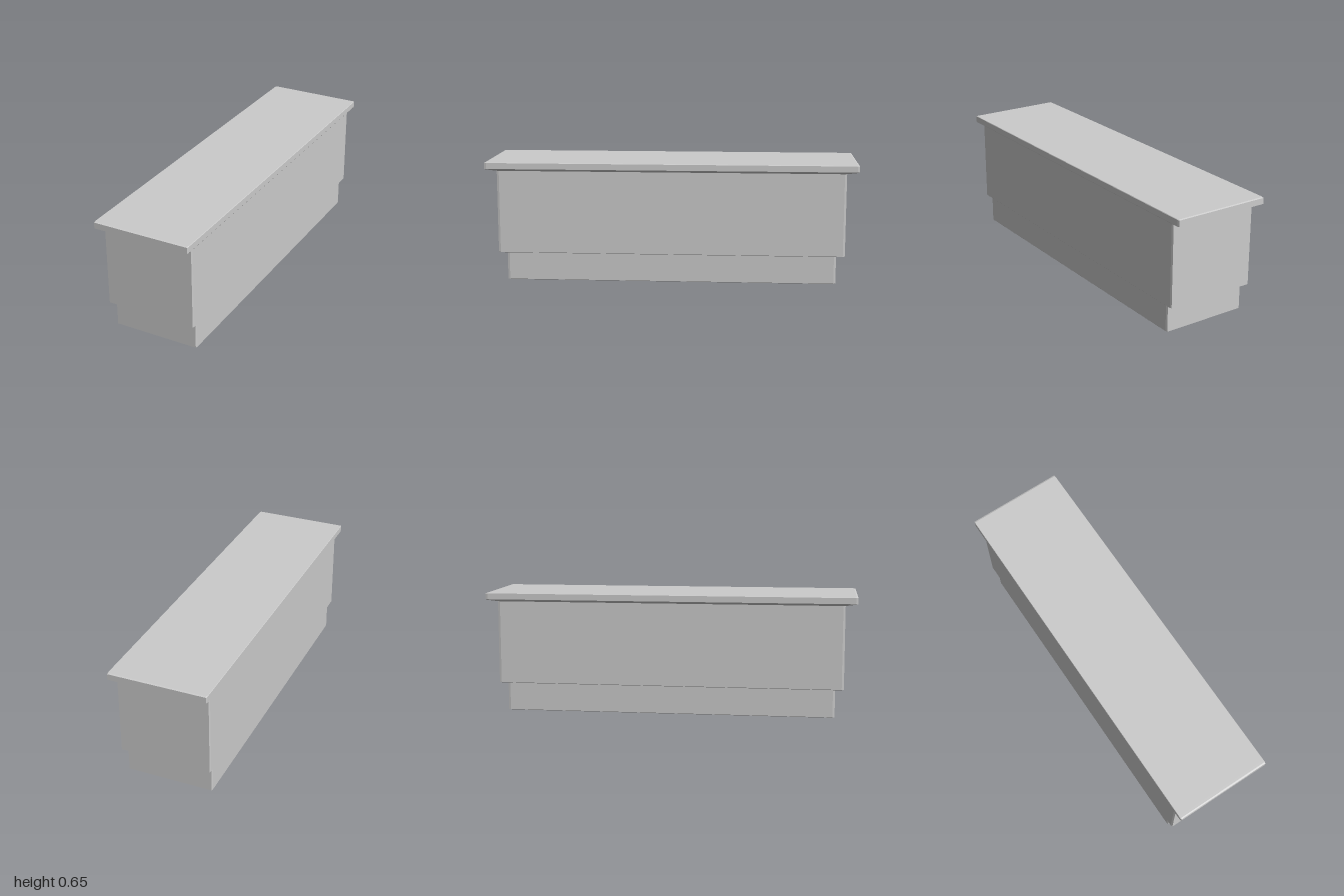
import * as THREE from 'three';

const DEPTH = 3.79;   // length along z relative to width along x
const BEVEL = 0.003;

// Bevelled block lofted from [y, halfWidth] sections, bottom to top, with chamfered corners
function loftBlock(name, sections, material) {
  const positions = [];
  const index = [];
  for (const [y, h] of sections) {
    const k = h - BEVEL;
    const ring = [[h, k], [h, -k], [k, -h], [-k, -h], [-h, -k], [-h, k], [-k, h], [k, h]];
    for (const [x, z] of ring) positions.push(x, y, z * DEPTH);
  }
  for (let s = 0; s < sections.length - 1; s++) {
    for (let i = 0; i < 8; i++) {
      const a = s * 8 + i;
      const b = s * 8 + (i + 1) % 8;
      index.push(a, b, b + 8, a, b + 8, a + 8);
    }
  }
  // bottom and top caps
  const top = (sections.length - 1) * 8;
  for (let i = 1; i < 7; i++) {
    index.push(0, i + 1, i, top, top + i, top + i + 1);
  }
  const indexed = new THREE.BufferGeometry();
  indexed.setAttribute('position', new THREE.Float32BufferAttribute(positions, 3));
  indexed.setIndex(index);
  const geometry = indexed.toNonIndexed();
  geometry.computeVertexNormals();
  const mesh = new THREE.Mesh(geometry, material);
  mesh.name = name;
  return mesh;
}

export function createModel() {
  const group = new THREE.Group();
  group.name = 'counter';
  const material = new THREE.MeshStandardMaterial({ color: 0xcccccc, flatShading: true });

  // recessed base
  group.add(loftBlock('plinth', [
    [0, 0.232], [BEVEL, 0.235], [0.152, 0.235], [0.155, 0.232],
  ], material));

  // main cabinet
  group.add(loftBlock('body', [
    [0.152, 0.244], [0.155, 0.247], [0.604, 0.247],
  ], material));

  // overhanging slab with sloped underside
  group.add(loftBlock('top', [
    [0.601, 0.247], [0.610, 0.262], [0.613, 0.264], [0.645, 0.264], [0.648, 0.262],
  ], material));

  return group;
}
